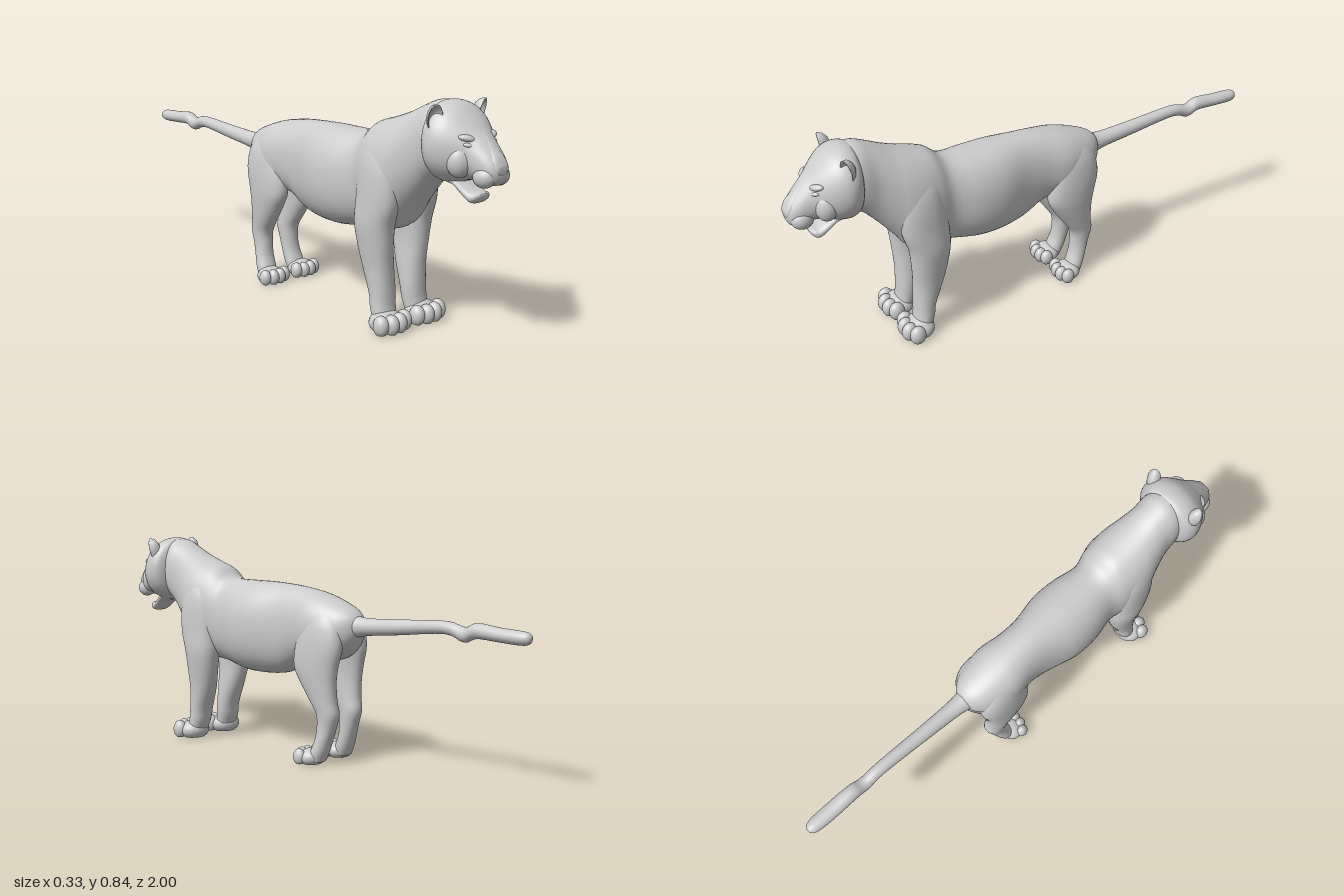
import * as THREE from 'three';

const fur = new THREE.MeshStandardMaterial({ color: 0xcccccc });
fur.name = 'greyFur';

// Smooth interpolation of station rows
function refine(rows, steps) {
  const out = [], at = i => rows[Math.max(0, Math.min(rows.length - 1, i))];
  for (let i = 0; i < rows.length - 1; i++) {
    for (let s = 0; s < steps; s++) {
      const t = s / steps;
      out.push(rows[i].map((_, k) => {
        const a = at(i - 1)[k], b = at(i)[k], c = at(i + 1)[k], d = at(i + 2)[k];
        return b + 0.5 * t * (c - a + t * (2 * a - 5 * b + 4 * c - d + t * (3 * (b - c) + d - a)));
      }));
    }
  }
  out.push(rows[rows.length - 1]);
  return out;
}

// Closed skin through rounded sections [cx, cy, cz, rx, r2], listed along +z or +y
function loft(rows, axis, power = 2, sides = 36, steps = 4) {
  const rings = refine(rows, steps), pos = [], idx = [], n = rings.length;
  const round = v => Math.sign(v) * Math.pow(Math.abs(v), 2 / power);
  for (const [x, y, z, rx, r2] of rings) {
    for (let j = 0; j < sides; j++) {
      const a = j / sides * Math.PI * 2, c = round(Math.cos(a)), s = round(Math.sin(a));
      if (axis === 'z') pos.push(x + rx * c, y + r2 * s, z);
      else pos.push(x + rx * s, y, z + r2 * c);
    }
  }
  for (let i = 0; i < n - 1; i++) {
    for (let j = 0; j < sides; j++) {
      const a = i * sides + j, b = i * sides + (j + 1) % sides;
      idx.push(a, b, a + sides, b, b + sides, a + sides);
    }
  }
  const first = n * sides, last = first + 1, end = (n - 1) * sides;
  pos.push(...rings[0].slice(0, 3), ...rings[n - 1].slice(0, 3));
  for (let j = 0; j < sides; j++) {
    const k = (j + 1) % sides;
    idx.push(first, k, j, last, end + j, end + k);
  }
  const g = new THREE.BufferGeometry();
  g.setAttribute('position', new THREE.Float32BufferAttribute(pos, 3));
  g.setIndex(idx);
  g.computeVertexNormals();
  return g;
}

// Section from [z, top, bottom, half width]
const alongZ = rows => rows.map(([z, top, bot, w]) => [0, (top + bot) / 2, z, w, (top - bot) / 2]);

function add(parent, name, geometry) {
  const m = new THREE.Mesh(geometry, fur);
  m.name = name;
  parent.add(m);
  return m;
}

function blob(parent, name, p, r, rot = [0, 0, 0]) {
  const m = add(parent, name, new THREE.SphereGeometry(1, 24, 16));
  m.position.set(...p);
  m.scale.set(...r);
  m.rotation.set(...rot);
  return m;
}

// Paw with four splayed toes, flat underneath
function makePaw(parent, name, x, z, side, size) {
  const paw = new THREE.Group();
  paw.name = name;
  const part = (n, p, r) => {
    const g = new THREE.SphereGeometry(1, 24, 16);
    g.scale(...r);
    g.translate(...p);
    const v = g.attributes.position;
    for (let i = 0; i < v.count; i++) v.setY(i, Math.max(v.getY(i), 0.004));
    g.computeVertexNormals();
    add(paw, n, g);
  };
  part('pad', [0, 0.034, -0.002], [0.066, 0.042, 0.055]);
  [[-0.054, 0.033], [-0.019, 0.046], [0.019, 0.046], [0.054, 0.03]].forEach(([tx, tz]) =>
    part('toe', [tx * side, 0.037, tz], [0.026, 0.038, 0.031]));
  paw.position.set(x * side, 0, z);
  paw.scale.setScalar(size);
  parent.add(paw);
}

export function createModel() {
  const cat = new THREE.Group();
  cat.name = 'bigCat';

  // Trunk from rump to neck
  add(cat, 'body', loft(alongZ([
    [-0.275, 0.565, 0.505, 0.025], [-0.25, 0.592, 0.46, 0.06], [-0.2, 0.617, 0.41, 0.093],
    [-0.1, 0.65, 0.385, 0.114], [0, 0.668, 0.37, 0.102], [0.09, 0.676, 0.325, 0.108],
    [0.2, 0.68, 0.312, 0.134], [0.3, 0.68, 0.315, 0.134], [0.4, 0.685, 0.335, 0.115],
    [0.46, 0.728, 0.343, 0.128], [0.52, 0.748, 0.348, 0.138], [0.575, 0.767, 0.368, 0.134],
    [0.62, 0.785, 0.43, 0.118], [0.68, 0.815, 0.505, 0.1], [0.73, 0.834, 0.56, 0.098],
    [0.78, 0.83, 0.59, 0.09],
  ]), 'z', 2.2, 48));

  // Tail with a slightly kinked, thicker tip
  add(cat, 'tail', loft(alongZ([
    [-1, 0.563, 0.55, 0.007], [-0.99, 0.575, 0.537, 0.02], [-0.96, 0.58, 0.532, 0.028],
    [-0.88, 0.584, 0.535, 0.03], [-0.79, 0.592, 0.538, 0.028], [-0.74, 0.574, 0.521, 0.025],
    [-0.66, 0.589, 0.543, 0.024], [-0.45, 0.577, 0.52, 0.028], [-0.3, 0.571, 0.503, 0.034],
    [-0.22, 0.585, 0.48, 0.05],
  ]), 'z', 2, 24));

  // Head, from the back of the skull to the muzzle
  const head = new THREE.Group();
  head.name = 'head';
  cat.add(head);
  add(head, 'skull', loft(alongZ([
    [0.735, 0.82, 0.61, 0.085], [0.755, 0.836, 0.58, 0.122], [0.79, 0.838, 0.568, 0.137],
    [0.83, 0.824, 0.572, 0.128], [0.87, 0.79, 0.586, 0.103], [0.905, 0.755, 0.59, 0.075],
    [0.935, 0.727, 0.584, 0.062], [0.965, 0.695, 0.584, 0.052], [0.985, 0.67, 0.59, 0.04],
    [0.996, 0.65, 0.61, 0.02],
  ]), 'z', 2.1, 48));
  add(head, 'lowerJaw', loft(alongZ([
    [0.78, 0.62, 0.57, 0.06], [0.83, 0.6, 0.562, 0.055], [0.87, 0.57, 0.53, 0.048],
    [0.895, 0.556, 0.515, 0.045], [0.912, 0.554, 0.522, 0.038], [0.922, 0.55, 0.537, 0.02],
  ]), 'z', 2.4, 28));
  add(head, 'noseBridge', loft(alongZ([
    [0.87, 0.785, 0.7, 0.025], [0.92, 0.742, 0.65, 0.027], [0.96, 0.704, 0.63, 0.03],
    [0.985, 0.676, 0.618, 0.033], [0.998, 0.65, 0.625, 0.022],
  ]), 'z', 2.4, 24));

  for (const s of [1, -1]) {
    const label = s > 0 ? 'left' : 'right';
    blob(head, label + 'MuzzlePad', [0.033 * s, 0.613, 0.948], [0.034, 0.036, 0.04]);
    blob(head, label + 'Brow', [0.057 * s, 0.732, 0.893], [0.03, 0.012, 0.017], [0, 0.5 * s, 0.2 * s]);
    blob(head, label + 'Eyelid', [0.056 * s, 0.711, 0.9], [0.022, 0.009, 0.015], [0, 0.5 * s, 0.15 * s]);
    blob(head, label + 'Cheek', [0.07 * s, 0.655, 0.875], [0.042, 0.052, 0.034], [0, 0.6 * s, 0]);

    // Hollow cupped ear, opening forward and outward
    const cup = [[0, -1], [0.5, -0.86], [0.85, -0.5], [1, 0], [0.94, 0.06], [0.84, 0], [0.65, -0.4], [0.35, -0.62], [0, -0.7]];
    const ear = add(head, label + 'Ear', new THREE.LatheGeometry(cup.map(p => new THREE.Vector2(...p)), 28).rotateX(Math.PI / 2));
    ear.position.set(0.11 * s, 0.788, 0.803);
    ear.scale.set(0.027, 0.05, 0.034);
    ear.rotation.set(0.25, 0.35 * s, -0.15 * s);

    // Front leg and shoulder: [x, y, z, half width, half depth]
    const foreRows = [
      [0.082, 0.02, 0.565, 0.045, 0.035], [0.078, 0.08, 0.547, 0.049, 0.039], [0.076, 0.13, 0.54, 0.05, 0.042],
      [0.08, 0.22, 0.522, 0.051, 0.058], [0.088, 0.3, 0.514, 0.054, 0.07], [0.092, 0.38, 0.512, 0.06, 0.08],
      [0.092, 0.46, 0.525, 0.058, 0.09], [0.09, 0.55, 0.53, 0.056, 0.088], [0.082, 0.62, 0.53, 0.052, 0.075],
      [0.065, 0.68, 0.525, 0.038, 0.05], [0.05, 0.71, 0.52, 0.015, 0.02],
    ];
    // Hind leg and thigh
    const hindRows = [
      [0.074, 0.015, -0.125, 0.036, 0.032], [0.072, 0.05, -0.138, 0.04, 0.035], [0.068, 0.1, -0.156, 0.037, 0.034],
      [0.065, 0.15, -0.167, 0.036, 0.039], [0.065, 0.2, -0.172, 0.039, 0.048], [0.069, 0.25, -0.153, 0.042, 0.06],
      [0.073, 0.32, -0.128, 0.047, 0.084], [0.074, 0.38, -0.118, 0.051, 0.103], [0.07, 0.46, -0.13, 0.054, 0.108],
      [0.06, 0.54, -0.135, 0.052, 0.09], [0.045, 0.6, -0.13, 0.035, 0.055], [0.04, 0.625, -0.13, 0.01, 0.02],
    ];
    const mirrored = rows => rows.map(([x, ...rest]) => [x * s, ...rest]);
    add(cat, label + 'FrontLeg', loft(mirrored(foreRows), 'y', 2.15));
    add(cat, label + 'HindLeg', loft(mirrored(hindRows), 'y', 2.1));
    makePaw(cat, label + 'FrontPaw', 0.087, 0.575, s, 1);
    makePaw(cat, label + 'HindPaw', 0.078, -0.104, s, 0.84);
  }
  return cat;
}
